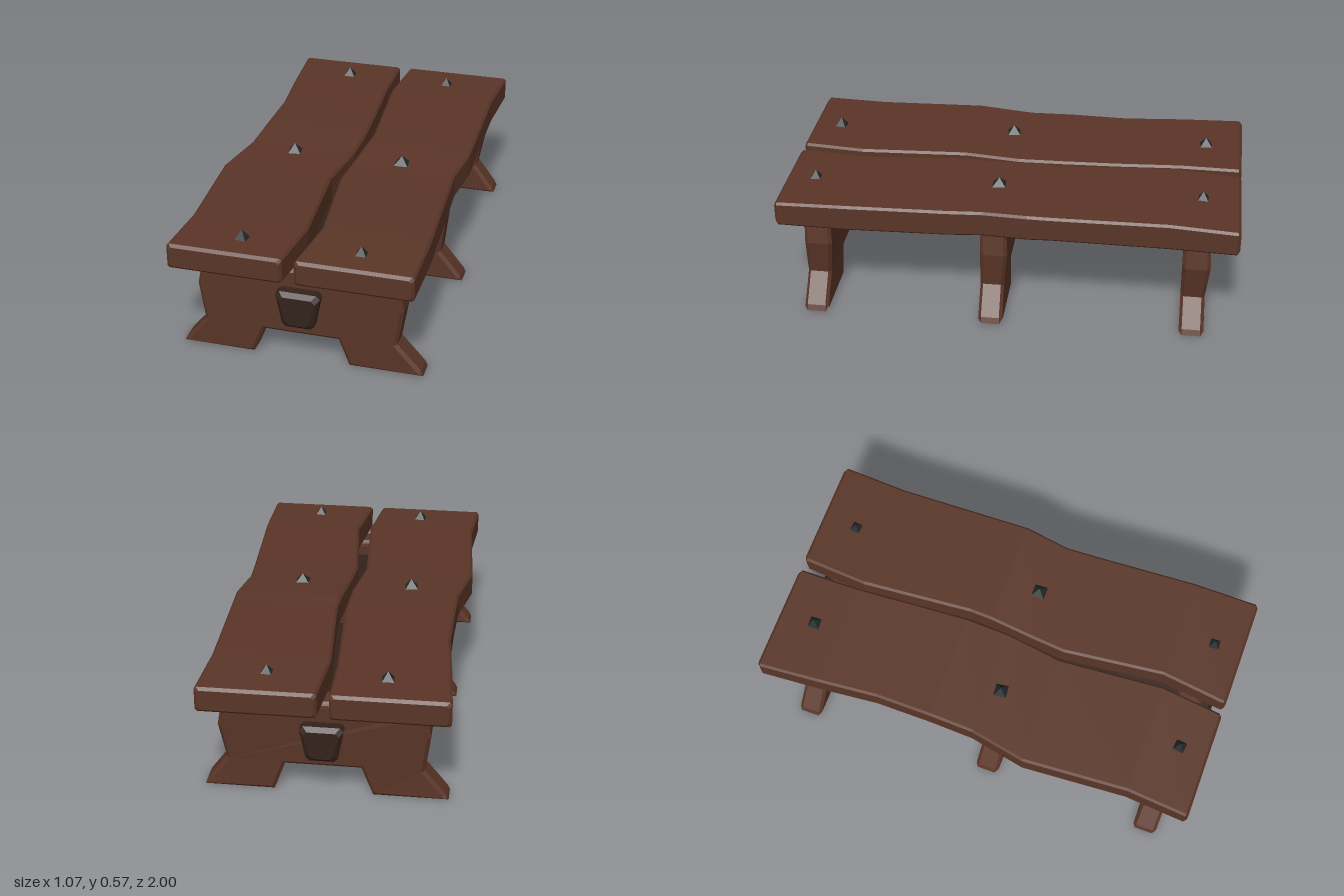
import * as THREE from 'three';

const material = (color) => new THREE.MeshStandardMaterial({ color, flatShading: true });

function addMesh(parent, name, geometry, mat) {
  const mesh = new THREE.Mesh(geometry, mat);
  mesh.name = name;
  parent.add(mesh);
  return mesh;
}

// Closed skin over a row of equal-length rings, each counter-clockwise seen from +z, going from -z to +z
function loft(rings) {
  const n = rings[0].length, last = (rings.length - 1) * n, index = [];
  for (let i = 0; i < rings.length - 1; i++) {
    for (let j = 0; j < n; j++) {
      const a = i * n + j, b = i * n + (j + 1) % n;
      index.push(a, b, b + n, a, b + n, a + n);
    }
  }
  for (let j = 1; j < n - 1; j++) {
    index.push(0, j + 1, j, last, last + j, last + j + 1);
  }
  const geometry = new THREE.BufferGeometry();
  geometry.setAttribute('position', new THREE.Float32BufferAttribute(rings.flat(2), 3));
  geometry.setIndex(index);
  const flat = geometry.toNonIndexed();
  flat.computeVertexNormals();
  return flat;
}

// Chamfered four-sided section; the bottom may be narrower than the top
function section(z, x0, x1, y0, y1, c, taper = 0, inset = 0) {
  const l = x0 + inset, r = x1 - inset, b = y0 + inset, t = y1 - inset;
  return [
    [l + taper + c, b, z], [r - taper - c, b, z], [r - taper, b + c, z], [r, t - c, z],
    [r - c, t, z], [l + c, t, z], [l, t - c, z], [l + taper, b + c, z],
  ];
}

// Loft of rows [z, x0, x1, y0, y1] with bevelled ends
function beam(rows, chamfer, taper, bevel) {
  const rings = rows.map((r) => section(...r, chamfer, taper));
  const [z0, ...a] = rows[0], [z1, ...b] = rows[rows.length - 1];
  rings[0] = section(z0 + bevel, ...a, chamfer, taper);
  rings[rings.length - 1] = section(z1 - bevel, ...b, chamfer, taper);
  rings.unshift(section(z0, ...a, chamfer, taper, bevel));
  rings.push(section(z1, ...b, chamfer, taper, bevel));
  return loft(rings);
}

// Trestle board: waisted sides, splayed feet and an arch between them
function trestleGeometry(footL, footR, lean) {
  const outline = [
    [-0.2, 0], [-0.15, 0.122], [0.17, 0.122], [0.215, 0], [footR, 0], [footR - 0.01, 0.025],
    [0.42 + lean, 0.14], [0.445, 0.3], [0.43, 0.39], [0.44, 0.43],
    [-0.42, 0.43], [-0.418, 0.39], [-0.437, 0.3], [-0.41 + lean, 0.13], [footL + 0.01, 0.02], [footL, 0],
  ].map((p) => new THREE.Vector2(...p));
  const bevel = 0.014, depth = 0.112;
  const geometry = new THREE.ExtrudeGeometry(new THREE.Shape(outline), {
    depth: depth - 2 * bevel, bevelEnabled: true, bevelSegments: 1,
    bevelSize: bevel, bevelOffset: -bevel, bevelThickness: bevel,
  });
  geometry.translate(0, 0, bevel - depth / 2);
  // Uneven hand-cut thickness
  const p = geometry.attributes.position;
  for (let i = 0; i < p.count; i++) {
    const y = p.getY(i);
    p.setZ(i, p.getZ(i) * (1 + 0.08 * Math.sin((y - 0.2) * 14)) + 0.005 * Math.sin(y * 15));
  }
  geometry.computeVertexNormals();
  return geometry;
}

export function createModel() {
  const group = new THREE.Group();
  const wood = material(0x5a3527), darkWood = material(0x33221b), iron = material(0x222829);

  // Two wavy top planks: z, x range, y range
  addMesh(group, 'rightPlank', beam([
    [-1, -0.525, -0.035, 0.42, 0.532],
    [-0.72, -0.505, -0.033, 0.417, 0.535],
    [-0.45, -0.48, -0.015, 0.42, 0.535],
    [-0.2, -0.482, 0, 0.425, 0.538],
    [0, -0.487, -0.005, 0.42, 0.533],
    [0.25, -0.535, -0.04, 0.413, 0.53],
    [0.72, -0.505, -0.005, 0.418, 0.535],
    [1, -0.525, -0.035, 0.42, 0.532],
  ], 0.01, 0, 0.012), wood);
  addMesh(group, 'leftPlank', beam([
    [-1, 0.015, 0.51, 0.422, 0.533],
    [-0.7, -0.005, 0.493, 0.42, 0.54],
    [-0.2, 0.035, 0.505, 0.43, 0.543],
    [-0.1, 0.03, 0.507, 0.428, 0.545],
    [0.1, 0.012, 0.48, 0.418, 0.534],
    [0.25, 0, 0.487, 0.413, 0.532],
    [0.7, 0.05, 0.51, 0.418, 0.537],
    [1, 0.015, 0.51, 0.422, 0.533],
  ], 0.01, 0, 0.012), wood);

  // Three trestles: z, foot reach on each side, lean of the waist
  [[0.84, -0.512, 0.53, 0], [0.06, -0.49, 0.53, 0.008], [-0.82, -0.515, 0.51, -0.005]]
    .forEach(([z, footL, footR, lean], i) => {
      const name = ['frontTrestle', 'middleTrestle', 'backTrestle'][i];
      addMesh(group, name, trestleGeometry(footL, footR, lean), wood).position.z = z;
    });

  // Crooked stretcher beam running through the trestles
  addMesh(group, 'stretcherBeam', beam([
    [-0.935, -0.085, 0.1, 0.18, 0.34],
    [-0.6, -0.08, 0.1, 0.172, 0.328],
    [0, -0.09, 0.1, 0.2, 0.355],
    [0.5, -0.09, 0.1, 0.222, 0.38],
    [0.95, -0.085, 0.105, 0.18, 0.345],
  ], 0.016, 0.025, 0.018), darkWood);

  // Pyramid nail heads: x, z, width, turn
  [
    [-0.255, -0.835, 0.066, 0.06], [0.24, -0.835, 0.062, -0.06],
    [-0.268, 0.055, 0.07, 0.12], [0.23, 0.055, 0.082, 0.02],
    [-0.24, 0.87, 0.062, -0.12], [0.263, 0.87, 0.058, 0.03],
  ].forEach(([x, z, width, turn]) => {
    const nail = addMesh(group, 'nailHead', new THREE.ConeGeometry(width / Math.SQRT2, 0.05, 4), iron);
    nail.position.set(x, 0.547, z);
    nail.rotation.y = Math.PI / 4 + turn;
  });

  return group;
}
